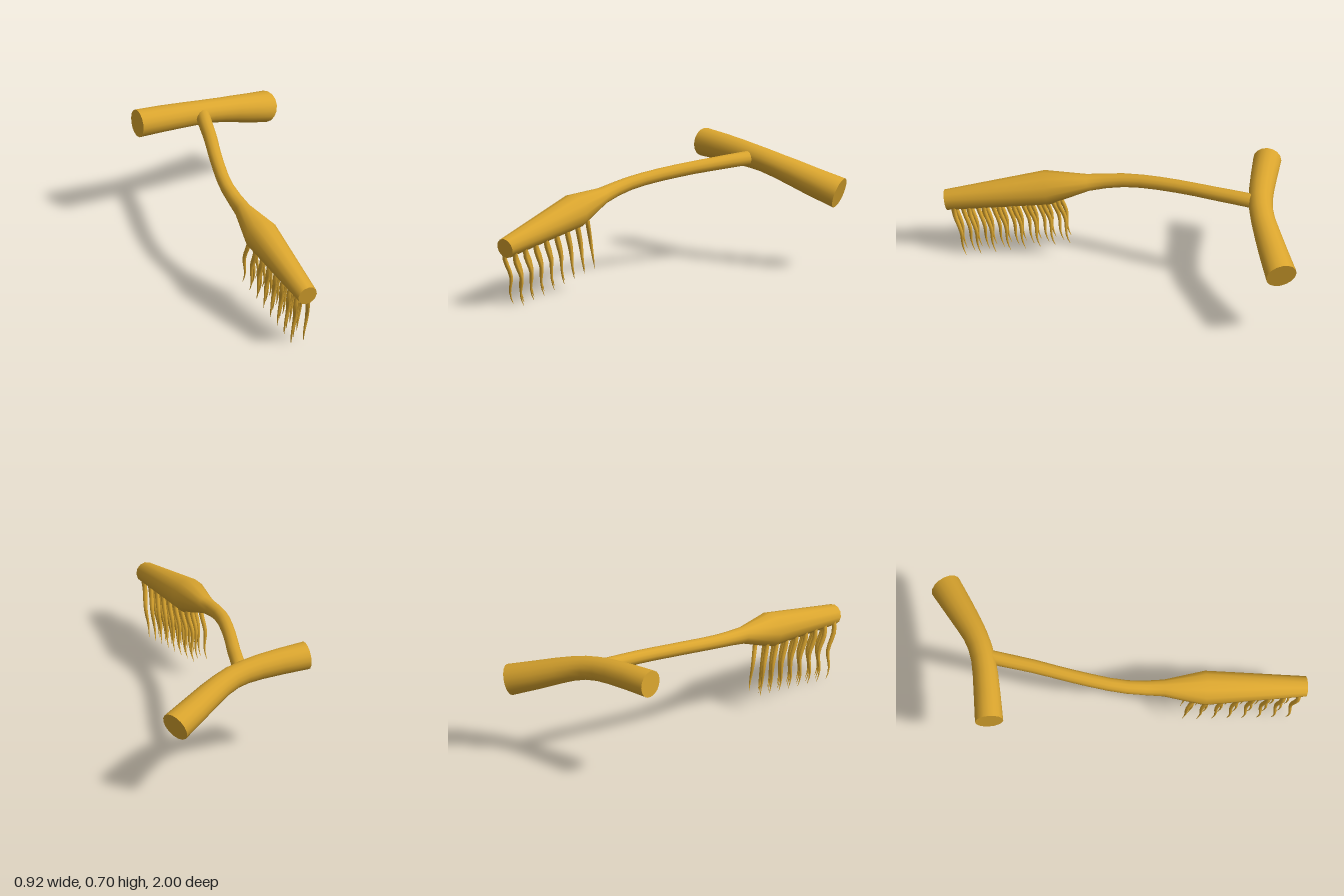
import * as THREE from 'three';

const gold = new THREE.MeshStandardMaterial({ color: 0xdaa52e });
gold.name = 'golden wood';

// Closed tube through [x, y, z, radius] stations, with rings square to the path
function sweep(stations, sides, up) {
  const pts = stations.map(s => new THREE.Vector3(s[0], s[1], s[2]));
  const pos = [], index = [], last = pts.length - 1;
  const ring = i => {
    const a = pts[Math.max(i - 1, 0)], b = pts[Math.min(i + 1, last)];
    const t = b.clone().sub(a).normalize();
    const side = up.clone().cross(t).normalize();
    const over = t.clone().cross(side);
    for (let j = 0; j < sides; j++) {
      const ang = (j / sides) * Math.PI * 2, r = stations[i][3];
      const p = pts[i].clone().addScaledVector(side, Math.cos(ang) * r).addScaledVector(over, Math.sin(ang) * r);
      pos.push(p.x, p.y, p.z);
    }
  };
  for (let i = 0; i <= last; i++) ring(i);
  for (let i = 0; i < last; i++) {
    for (let j = 0; j < sides; j++) {
      const k = (j + 1) % sides, a = i * sides, d = a + sides;
      index.push(a + j, a + k, d + k, a + j, d + k, d + j);
    }
  }
  // Flat end caps with their own vertices
  for (const end of [0, last]) {
    const base = pos.length / 3;
    ring(end);
    pos.push(...pts[end].toArray());
    for (let j = 0; j < sides; j++) {
      const k = (j + 1) % sides;
      if (end === 0) index.push(base + sides, base + k, base + j);
      else index.push(base + sides, base + j, base + k);
    }
  }
  const geo = new THREE.BufferGeometry();
  geo.setAttribute('position', new THREE.Float32BufferAttribute(pos, 3));
  geo.setIndex(index);
  geo.computeVertexNormals();
  return geo;
}

function part(name, geometry) {
  const mesh = new THREE.Mesh(geometry, gold);
  mesh.name = name;
  return mesh;
}

export function createModel() {
  const model = new THREE.Group();
  model.name = 'handBrush';
  const yUp = new THREE.Vector3(0, 1, 0), xUp = new THREE.Vector3(1, 0, 0);

  // Bent crosspiece at the back
  model.add(part('crossHandle', sweep([
    [-0.451, 0.622, -0.781, 0.078],
    [-0.30, 0.617, -0.774, 0.074],
    [-0.17, 0.609, -0.769, 0.070],
    [-0.08, 0.600, -0.770, 0.067],
    [0.0, 0.587, -0.779, 0.066],
    [0.08, 0.565, -0.797, 0.068],
    [0.16, 0.538, -0.823, 0.073],
    [0.28, 0.493, -0.866, 0.080],
    [0.422, 0.443, -0.919, 0.087],
  ], 16, yUp)));

  // Tapered brush head flowing into the curved stem
  model.add(part('headAndStem', sweep([
    [-0.348, 0.343, 0.985, 0.057],
    [-0.335, 0.460, 0.425, 0.096],
    [-0.327, 0.508, 0.20, 0.047],
    [-0.322, 0.527, 0.10, 0.041],
    [-0.311, 0.543, 0.0, 0.038],
    [-0.288, 0.556, -0.10, 0.037],
    [-0.257, 0.567, -0.20, 0.037],
    [-0.223, 0.576, -0.30, 0.037],
    [-0.186, 0.584, -0.40, 0.037],
    [-0.148, 0.590, -0.50, 0.038],
    [-0.111, 0.595, -0.61, 0.039],
    [-0.074, 0.599, -0.72, 0.040],
  ], 12, yUp)));

  // Three staggered rows of wavy, pointed bristles
  const bristles = new THREE.Group();
  bristles.name = 'bristles';
  for (const row of [-1, 0, 1]) {
    const count = row === 0 ? 7 : 8;
    for (let i = 0; i < count; i++) {
      const rootZ = 0.94 - 0.082 * i - (row === 0 ? 0.045 : 0);
      const rootY = 0.32 + (0.985 - rootZ) * 0.2;
      const tipY = 0.003 + (0.94 - rootZ) * 0.2;
      const x = -0.35 + row * 0.039 + i * 0.0015;
      const phase = i * 0.9 + row * 0.7;
      const stations = [];
      for (let s = 0; s <= 10; s++) {
        const t = s / 10;
        const wave = Math.sin(t * Math.PI * 3) * 0.007;
        stations.push([
          x - wave * Math.cos(phase * 0.4),
          THREE.MathUtils.lerp(rootY, tipY, t),
          rootZ - 0.072 * t + wave,
          0.0125 * (1 - t ** 2.2) + 0.0008,
        ]);
      }
      bristles.add(part('bristle', sweep(stations, 7, xUp)));
    }
  }
  model.add(bristles);
  return model;
}
